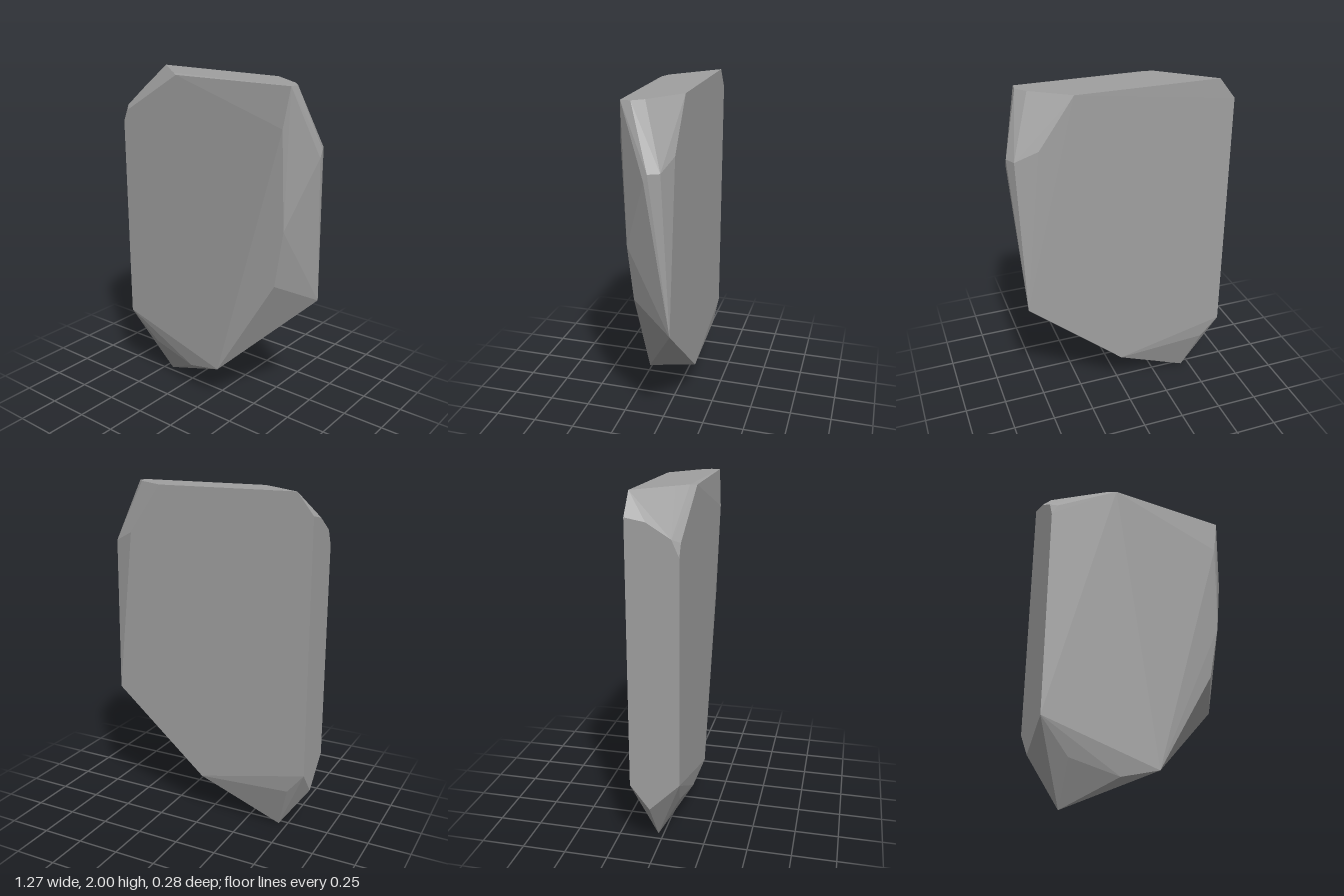
import * as THREE from 'three';
import { ConvexGeometry } from 'three/addons/geometries/ConvexGeometry.js';

// Faceted stone slab: the convex hull of its chipped corners
const corners = {
  top: [
    [0.28, 2, -0.14], [0.49, 2, 0.01], [0.54, 2, 0.07], [0.535, 2, 0.125],
    [-0.22, 1.995, 0.14], [-0.26, 2, 0.11], [-0.33, 2, 0.05], [-0.545, 2, -0.14],
  ],
  leftEnd: [
    [-0.64, 1.88, -0.14], [-0.64, 1.86, -0.03], [-0.64, 1.78, 0.1],
    [-0.64, 1.69, 0.14], [-0.605, 1.76, 0.14],
    [-0.64, 0.44, 0.14], [-0.64, 0.27, -0.03], [-0.64, 0.41, -0.14],
  ],
  rightEnd: [
    [0.5, 1.78, 0.14], [0.51, 1.22, 0.118], [0.45, 0.88, 0.105],
    [0.635, 1.66, -0.04], [0.635, 1.62, -0.02], [0.605, 1.66, -0.1],
    [0.48, 1.72, -0.14], [0.59, 0.75, -0.14],
  ],
  bottom: [
    [0.07, 0.24, 0.14], [0.02, 0.26, -0.14], [-0.45, 0, -0.03],
    [-0.46, 0.25, 0.1], [-0.16, 0.18, 0.115], [-0.535, 0.28, -0.125],
  ],
};

export function createModel() {
  const stone = new THREE.MeshStandardMaterial({ color: 0xa0a0a0 });
  stone.name = 'stoneGrey';

  const points = Object.values(corners).flat().map((p) => new THREE.Vector3(...p));
  const slab = new THREE.Mesh(new ConvexGeometry(points), stone);
  slab.name = 'stoneSlab';

  const group = new THREE.Group();
  group.name = 'rock';
  group.add(slab);
  return group;
}
